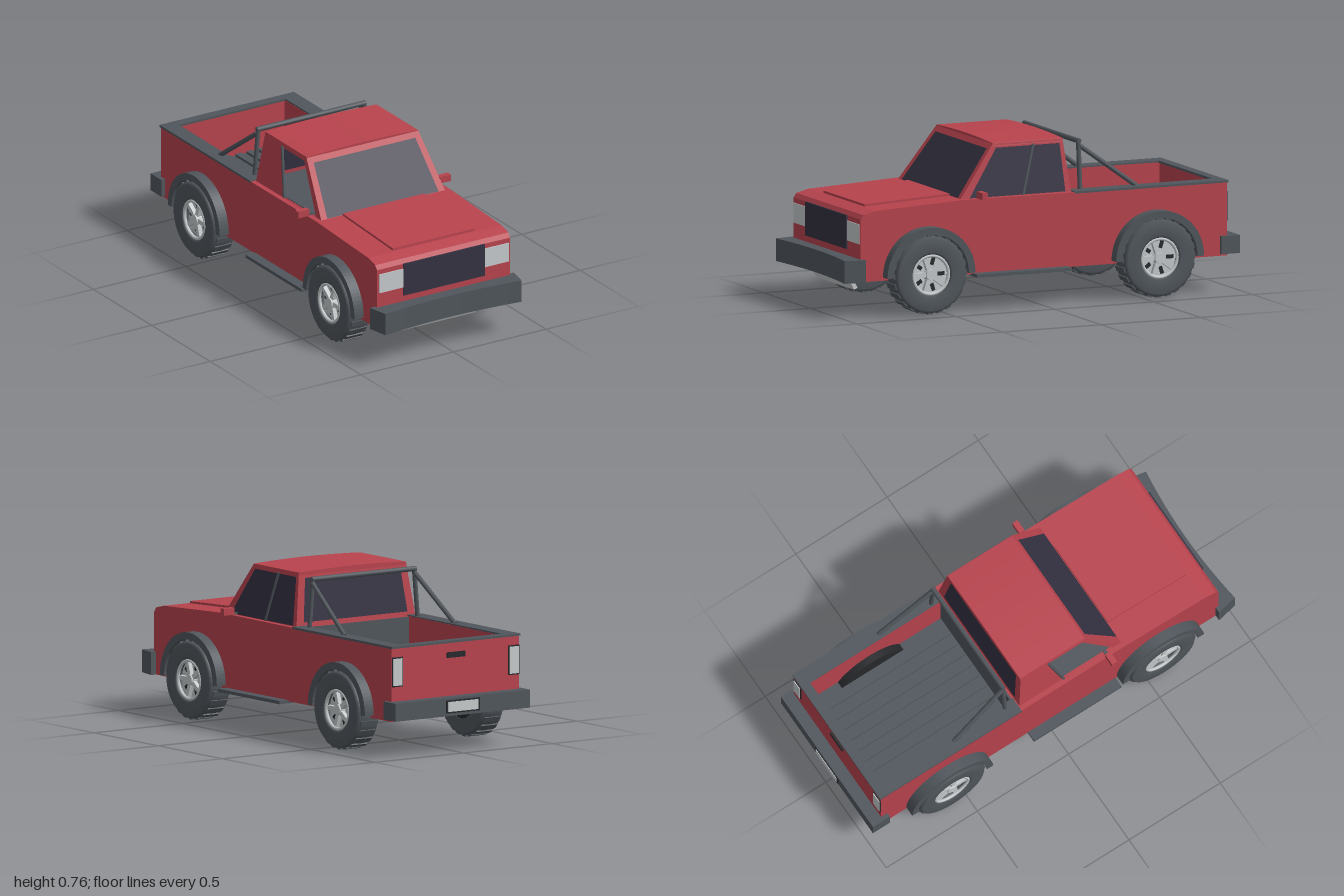
import * as THREE from 'three';

const mat = (name, color, double) => {
  const m = new THREE.MeshStandardMaterial({ color });
  m.name = name;
  if (double) m.side = THREE.DoubleSide;
  return m;
};

export function createModel() {
  const red = mat('red paint', 0xb8434d, true);
  const grey = mat('grey trim', 0x50565c);
  const glass = mat('dark glass', 0x343242, true);
  const black = mat('underbody black', 0x26282b);
  const light = mat('light metal', 0xc6cacc);

  const truck = new THREE.Group();
  truck.name = 'pickupTruck';

  const add = (name, geo, material, parent = truck) => {
    const mesh = new THREE.Mesh(geo, material);
    mesh.name = name;
    parent.add(mesh);
    return mesh;
  };
  // box given by its min and max on each axis
  const box = (name, x0, x1, y0, y1, z0, z1, m, parent) => {
    const g = new THREE.BoxGeometry(x1 - x0, y1 - y0, z1 - z0);
    g.translate((x0 + x1) / 2, (y0 + y1) / 2, (z0 + z1) / 2);
    return add(name, g, m, parent);
  };
  // side profile in (z, y), extruded from x0 to x1
  const slab = (name, shape, x0, x1, m, parent) => {
    const g = new THREE.ExtrudeGeometry(shape, { depth: x1 - x0, bevelEnabled: false, curveSegments: 20 });
    g.rotateY(-Math.PI / 2).translate(x1, 0, 0);
    return add(name, g, m, parent);
  };
  const poly = (pts) => new THREE.Shape(pts.map((p) => new THREE.Vector2(...p)));
  const V = (x, y, z) => new THREE.Vector3(x, y, z);
  // round bar between two points
  const bar = (name, a, b, r, m) => {
    const g = new THREE.CylinderGeometry(r, r, a.distanceTo(b), 10);
    const mesh = add(name, g, m);
    mesh.position.copy(a).lerp(b, 0.5);
    mesh.quaternion.setFromUnitVectors(V(0, 1, 0), b.clone().sub(a).normalize());
  };

  const AXLES = [0.58, -0.575], AXLE_Y = 0.183;
  const noseTop = [[0.915, 0.455], [0.90, 0.475], [0.84, 0.49], [0.40, 0.511]];

  // body sides with wheel arches
  const side = new THREE.Shape();
  side.moveTo(-0.935, 0.165);
  for (const z of [AXLES[1], AXLES[0]]) {
    side.lineTo(z - 0.195, 0.165);
    side.absarc(z, AXLE_Y, 0.195, Math.PI, 0, true);
    side.lineTo(z + 0.195, 0.165);
  }
  side.lineTo(0.915, 0.165);
  noseTop.forEach((p) => side.lineTo(...p));
  side.lineTo(-0.935, 0.505);
  slab('leftBodySide', side, 0.286, 0.36, red);
  slab('rightBodySide', side, -0.36, -0.286, red);

  // bonnet and lower cab between the sides
  slab('lowerBody', poly([[-0.17, 0.165], [0.915, 0.165], ...noseTop, [-0.17, 0.507]]), -0.287, 0.287, red);
  slab('bonnetPanel', poly([[0.83, 0.48], [0.83, 0.501], [0.40, 0.521], [0.40, 0.50]]), -0.22, 0.22, red);

  // load bed
  box('bedFloor', -0.287, 0.287, 0.166, 0.29, -0.91, -0.165, grey);
  box('bedFrontWall', -0.287, 0.287, 0.28, 0.505, -0.18, -0.168, grey);
  box('tailgate', -0.287, 0.287, 0.165, 0.505, -0.935, -0.90, red);
  for (let i = 0; i < 8; i++) {
    const x = -0.21 + i * 0.06;
    box('bedRib', x - 0.016, x + 0.016, 0.288, 0.302, -0.89, -0.185, grey);
  }
  for (const s of [1, -1]) {
    box('bedRail', s * 0.325 - 0.038, s * 0.325 + 0.038, 0.503, 0.513, -0.942, -0.165, grey);
    const well = new THREE.Shape();
    well.absarc(AXLES[1], AXLE_Y, 0.2, 0, Math.PI, false);
    slab('wheelWell', well, s * 0.27 - 0.018, s * 0.27 + 0.018, black);
  }
  box('tailgateRail', -0.29, 0.29, 0.503, 0.513, -0.942, -0.895, grey);

  // cab faces: patches on the quad between bottom a-b and top c-d
  const patch = (name, [a, b, c, d], u0, u1, v0, v1, m) => {
    const at = (u, v) => a.clone().lerp(b, u).lerp(c.clone().lerp(d, u), v);
    const p = [at(u0, v0), at(u1, v0), at(u1, v1), at(u0, v0), at(u1, v1), at(u0, v1)];
    const g = new THREE.BufferGeometry().setFromPoints(p);
    g.computeVertexNormals();
    add(name, g, m);
  };
  const framed = (name, q, u0, u1, v0, v1, panes) => {
    patch(name + 'Sill', q, 0, 1, 0, v0, red);
    patch(name + 'Header', q, 0, 1, v1, 1, red);
    patch(name + 'Pillar', q, 0, u0, v0, v1, red);
    patch(name + 'Pillar', q, u1, 1, v0, v1, red);
    for (const [p0, p1, m] of panes) patch(name + 'Pane', q, p0, p1, v0, v1, m);
  };
  const BF = (s) => V(s * 0.335, 0.507, 0.40), BR = (s) => V(s * 0.335, 0.507, -0.16);
  const TF = (s) => V(s * 0.302, 0.752, 0.22), TR = (s) => V(s * 0.302, 0.752, -0.132);
  framed('windscreen', [BF(-1), BF(1), TF(-1), TF(1)], 0.05, 0.95, 0.02, 0.9, [[0.05, 0.95, glass]]);
  framed('rearWindow', [BR(1), BR(-1), TR(1), TR(-1)], 0.06, 0.94, 0.08, 0.9, [[0.06, 0.94, glass]]);
  framed('leftWindow', [BF(1), BR(1), TF(1), TR(1)], 0.08, 0.95, 0.02, 0.92, [[0.08, 0.95, glass]]);
  // the right front window is open, with a closed quarter panel behind it
  framed('rightWindow', [BR(-1), BF(-1), TR(-1), TF(-1)], 0.05, 0.92, 0.02, 0.92, [[0.05, 0.42, red]]);
  box('cabShelf', -0.325, 0.325, 0.505, 0.514, -0.15, 0.36, grey);
  for (const s of [1, -1]) bar('windowDivider', V(s * 0.335, 0.51, 0.082), V(s * 0.306, 0.738, 0.018), 0.007, grey);

  // gently crowned roof
  const crown = new THREE.Shape();
  crown.moveTo(-0.304, 0.74);
  crown.lineTo(0.304, 0.74);
  crown.lineTo(0.30, 0.754);
  crown.quadraticCurveTo(0, 0.77, -0.30, 0.754);
  const roofGeo = new THREE.ExtrudeGeometry(crown, { depth: 0.355, bevelEnabled: false });
  add('roof', roofGeo.translate(0, 0, -0.134), red);

  // mirrors
  for (const s of [1, -1]) {
    box('mirror', s * 0.383 - 0.03, s * 0.383 + 0.03, 0.513, 0.545, 0.297, 0.325, red);
    box('mirrorArm', s * 0.342 - 0.015, s * 0.342 + 0.015, 0.512, 0.522, 0.303, 0.319, grey);
  }

  // roll bar
  for (const s of [1, -1]) {
    bar('rollBarPost', V(s * 0.305, 0.505, -0.22), V(s * 0.285, 0.735, -0.22), 0.011, grey);
    bar('rollBarBrace', V(s * 0.288, 0.715, -0.22), V(s * 0.312, 0.508, -0.505), 0.011, grey);
  }
  bar('rollBarTop', V(-0.294, 0.733, -0.22), V(0.294, 0.733, -0.22), 0.012, grey);

  // front face
  box('grille', -0.22, 0.22, 0.30, 0.456, 0.913, 0.922, glass);
  for (const s of [1, -1]) {
    box('headlight', s * 0.285 - 0.065, s * 0.285 + 0.065, 0.34, 0.432, 0.912, 0.919, light);
    box('tailLightFrame', s * 0.328 - 0.03, s * 0.328 + 0.03, 0.325, 0.462, -0.939, -0.934, black);
    box('tailLight', s * 0.328 - 0.025, s * 0.328 + 0.025, 0.331, 0.456, -0.943, -0.936, light);
  }
  // front bumper, concave along its face
  const bump = new THREE.Shape();
  bump.moveTo(-0.388, -0.90);
  bump.lineTo(-0.368, -1.0);
  bump.quadraticCurveTo(0, -0.95, 0.368, -1.0);
  bump.lineTo(0.388, -0.90);
  const bumpGeo = new THREE.ExtrudeGeometry(bump, { depth: 0.105, bevelEnabled: false });
  add('frontBumper', bumpGeo.rotateX(-Math.PI / 2).translate(0, 0.165, 0), grey);
  slab('skidPlate', poly([[0.885, 0.17], [0.855, 0.113], [0.872, 0.105], [0.908, 0.17]]), -0.2, 0.2, light);

  // rear face
  box('rearBumper', -0.38, 0.38, 0.175, 0.258, -0.993, -0.9, grey);
  box('plateFrame', -0.095, 0.095, 0.188, 0.248, -0.997, -0.992, black);
  box('plate', -0.085, 0.085, 0.195, 0.241, -1.0, -0.994, light);
  box('tailgateHandle', -0.05, 0.05, 0.435, 0.46, -0.944, -0.934, black);

  // underside and steps
  box('underbody', -0.26, 0.26, 0.155, 0.167, -0.865, 0.82, black);
  for (const s of [1, -1]) {
    box('sideStep', s * 0.37 - 0.04, s * 0.37 + 0.04, 0.155, 0.17, -0.13, 0.35, grey);
  }

  // wheels and arch flares
  const tyreProfile = [[0.1, -0.062], [0.165, -0.062], [0.177, -0.05], [0.18, 0], [0.177, 0.05],
    [0.165, 0.062], [0.105, 0.06], [0.095, 0.054], [0.092, 0.02]].map((p) => new THREE.Vector2(...p));
  const tyreGeo = new THREE.LatheGeometry(tyreProfile, 40);
  const rimGeo = new THREE.TorusGeometry(0.089, 0.008, 8, 36).rotateX(Math.PI / 2);
  const makeWheel = () => {
    const w = new THREE.Group();
    add('tyre', tyreGeo, grey, w);
    add('rim', rimGeo, light, w).position.y = 0.05;
    add('rimDish', new THREE.CylinderGeometry(0.092, 0.098, 0.075, 32), light, w).position.y = -0.012;
    add('wheelBack', new THREE.CylinderGeometry(0.1, 0.1, 0.02, 32), black, w).position.y = -0.05;
    add('hub', new THREE.CylinderGeometry(0.024, 0.028, 0.03, 16), light, w).position.y = 0.04;
    for (let i = 0; i < 5; i++) {
      const spoke = new THREE.Group();
      spoke.rotation.y = (i / 5) * Math.PI * 2;
      box('spoke', -0.011, 0.011, 0.028, 0.048, 0.01, 0.088, light, spoke);
      box('rimGap', -0.009, 0.009, 0.02, 0.028, -0.08, -0.045, black, spoke);
      w.add(spoke);
    }
    for (let i = 0; i < 24; i++) {
      const tread = new THREE.Group();
      tread.rotation.y = (i / 24) * Math.PI * 2;
      box('treadBlock', -0.013, 0.013, -0.045, 0.045, 0.165, 0.184, grey, tread);
      w.add(tread);
    }
    return w;
  };
  for (const z of AXLES) {
    for (const s of [1, -1]) {
      const wheel = makeWheel();
      wheel.name = (z > 0 ? 'front' : 'rear') + (s > 0 ? 'Left' : 'Right') + 'Wheel';
      wheel.rotation.z = -s * Math.PI / 2;
      wheel.position.set(s * 0.353, AXLE_Y, z);
      truck.add(wheel);
      const arch = new THREE.Shape();
      arch.absarc(z, AXLE_Y - 0.003, 0.222, 0, Math.PI, false);
      arch.absarc(z, AXLE_Y - 0.003, 0.189, Math.PI, 0, true);
      slab('archFlare', arch, s > 0 ? 0.34 : -0.41, s > 0 ? 0.41 : -0.34, grey);
    }
    bar('axle', V(-0.3, AXLE_Y, z), V(0.3, AXLE_Y, z), 0.015, black);
  }
  return truck;
}
